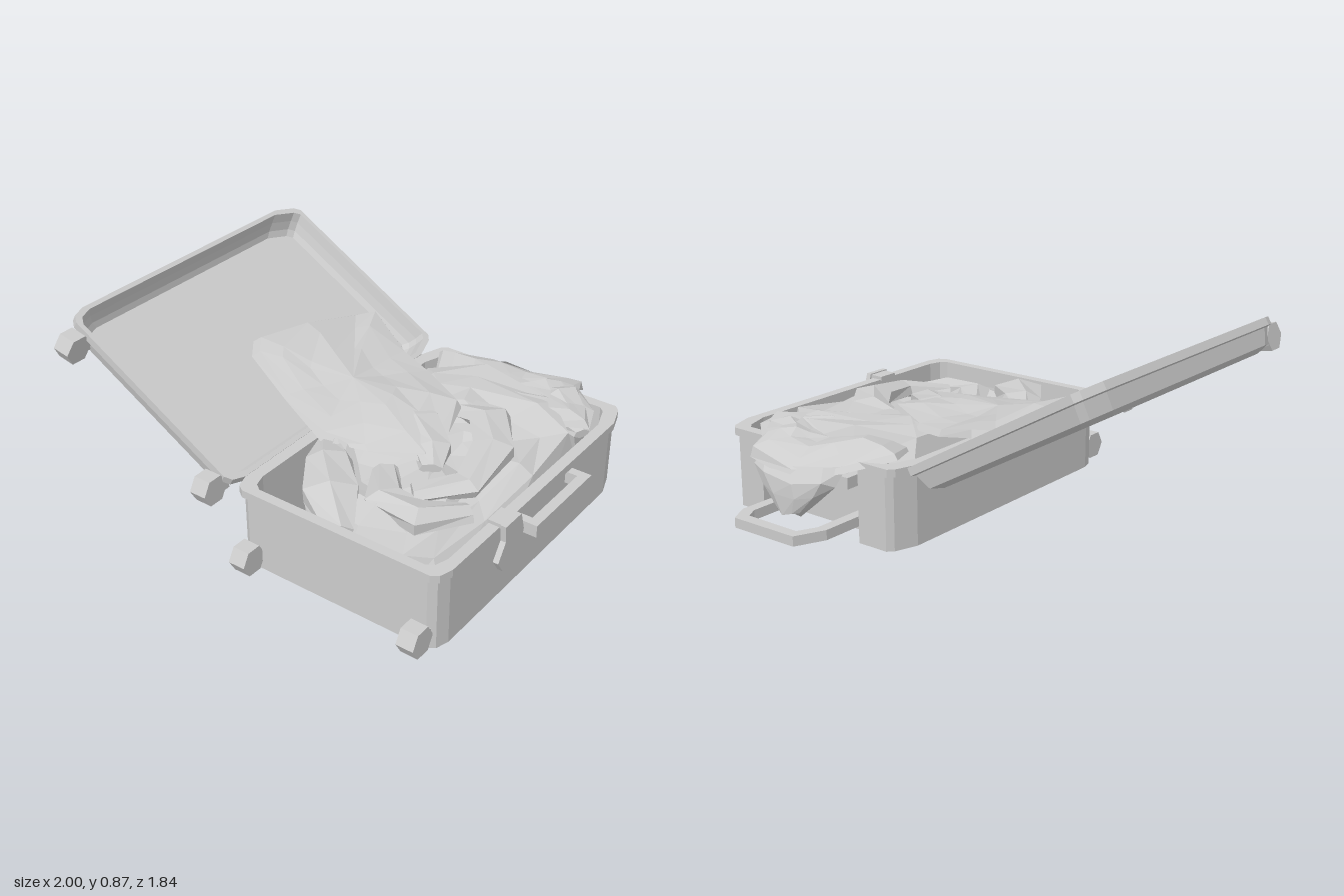
import * as THREE from 'three';

const mat = new THREE.MeshStandardMaterial({ color: 0xcccccc, flatShading: true, side: THREE.DoubleSide });

function add(parent, name, geo, x = 0, y = 0, z = 0) {
  const m = new THREE.Mesh(geo, mat);
  m.name = name;
  m.position.set(x, y, z);
  parent.add(m);
  return m;
}

const box = (w, h, d) => new THREE.BoxGeometry(w, h, d);

// Rectangle with two-step corners as [x, z], anticlockwise from above; optional notch in the back edge
function outline(x0, x1, z0, z1, notch) {
  const right = [[0, z1 - 0.08], [0, z0 + 0.13], [0.035, z0 + 0.025], [0.06, z0]];
  const front = [[0.05, z1], [0.018, z1 - 0.022]];
  const back = notch ? [[notch[1], z0], [notch[1], notch[2]], [notch[0], notch[2]], [notch[0], z0]] : [];
  const half = [...front, ...right];
  return [...half.map(([d, z]) => [x1 - d, z]), ...back, ...half.reverse().map(([d, z]) => [x0 + d, z])];
}

// Flat plan shape raised to a height
function slab(pts, h, hole) {
  const vec = (list) => list.map(([x, z]) => new THREE.Vector2(x, -z));
  const s = new THREE.Shape(vec(pts));
  if (hole) s.holes.push(new THREE.Path(vec(hole)));
  return new THREE.ExtrudeGeometry(s, { depth: h, bevelEnabled: false }).rotateX(-Math.PI / 2);
}

// Faceted skin through rings of equal point count
function skin(rings) {
  const pos = [];
  for (let i = 0; i < rings.length - 1; i++) {
    const n = rings[i].length;
    for (let j = 0; j < n; j++) {
      const k = (j + 1) % n;
      const [a, b, c, d] = [rings[i][j], rings[i][k], rings[i + 1][k], rings[i + 1][j]];
      pos.push(...a, ...b, ...c, ...a, ...c, ...d);
    }
  }
  const g = new THREE.BufferGeometry();
  g.setAttribute('position', new THREE.Float32BufferAttribute(pos, 3));
  g.computeVertexNormals();
  return g;
}

const crumple = (x, z) => Math.sin(11 * x + 5 * z) * 0.5 + Math.sin(17 * z - 8 * x + 1) * 0.5;

// Crumpled cloth: an outline that closes to a centre above and to a point below.
// profile holds [scale, lift] for each inner ring
function cloth(outer, centre, under, profile, bump) {
  const ring = (s, lift, b) => outer.map(([x, y, z]) => {
    const px = centre[0] + (x - centre[0]) * s, pz = centre[2] + (z - centre[2]) * s;
    const w = b * crumple(px, pz);
    return [px + w * 0.6, centre[1] + (y - centre[1]) * s + lift + w, pz - w * 0.6];
  });
  return skin([outer.map(() => under), outer, ...profile.map(([s, l]) => ring(s, l, bump)), ring(0, 0, 0)]);
}

// Six-sided flattened roll of cloth along [x, y, z, halfWidth] points
function roll(path) {
  const rings = path.map(([x, y, z, r], i) => {
    const a = path[Math.max(i - 1, 0)], b = path[Math.min(i + 1, path.length - 1)];
    const l = Math.hypot(b[0] - a[0], b[2] - a[2]);
    const px = -(b[2] - a[2]) / l, pz = (b[0] - a[0]) / l;
    return Array.from({ length: 6 }, (_, k) => {
      const t = k * Math.PI / 3 + i * 0.25;
      return [x + px * r * Math.cos(t), y + 0.5 * r * Math.sin(t), z + pz * r * Math.cos(t)];
    });
  });
  const cap = (p) => Array(6).fill(p.slice(0, 3));
  return skin([cap(path[0]), ...rings, cap(path[path.length - 1])]);
}

// Hexagonal wheel with a corner towards the front
function wheel(parent, x, y, z, tilt = 0) {
  const g = new THREE.Group();
  g.name = 'wheel';
  g.position.set(x, y, z);
  g.rotation.z = tilt;
  add(g, 'wheelTread', new THREE.CylinderGeometry(0.067, 0.067, 0.08, 6).rotateZ(Math.PI / 2));
  add(g, 'wheelBracket', box(0.07, 0.06, 0.05), 0, 0, -0.06);
  parent.add(g);
}

export function createModel() {
  const root = new THREE.Group();
  root.name = 'openSuitcase';

  // Base shell with a recess at the back for the pull handle
  const base = new THREE.Group();
  base.name = 'base';
  root.add(base);
  const outer = outline(-0.08, 0.9, -0.65, 0.8, [0.13, 0.7, -0.54]);
  add(base, 'baseFloor', slab(outer, 0.02));
  add(base, 'baseWalls', slab(outer, 0.31, outline(-0.045, 0.865, -0.61, 0.765, [0.09, 0.74, -0.5])), 0, 0.02, 0);
  add(base, 'baseRim', slab(outline(-0.1, 0.915, -0.66, 0.81), 0.035, outline(-0.045, 0.865, -0.61, 0.765)), 0, 0.33, 0);
  add(base, 'recessTop', box(0.57, 0.02, 0.12), 0.415, 0.32, -0.55);

  // Lid tray, folded open on the right-hand side
  const lid = new THREE.Group();
  lid.name = 'lid';
  lid.position.set(-0.1, 0.367, 0);
  lid.rotation.z = -Math.PI / 6;
  root.add(lid);
  const lidRing = ([inset, y]) => outline(-1.01 + inset, -inset, -0.66 + inset, 0.81 - inset).map(([x, z]) => [x, y, z]);
  const flat = (y) => Array(12).fill([-0.505, y, 0.075]);
  const lidProfile = [[0.075, -0.13], [0.035, -0.11], [0.015, -0.04], [0, -0.035], [0, 0],
    [0.022, 0], [0.032, -0.045], [0.045, -0.085], [0.062, -0.11]];
  add(lid, 'lidShell', skin([flat(-0.13), ...lidProfile.map(lidRing), flat(-0.11)]));
  add(root, 'hinge', box(0.05, 0.03, 1.22), -0.1, 0.35, 0.12);

  // Wheels on the front end of both halves
  wheel(root, -0.005, 0.07, 0.85);
  wheel(root, 0.83, 0.07, 0.85);
  wheel(root, -0.195, 0.34, 0.85);
  wheel(root, -0.925, 0.755, 0.85, -0.2);

  // Pull handle
  add(root, 'pullHandle', slab([[0.64, -0.53], [0.64, -0.83], [0.59, -0.92], [0.25, -0.915], [0.19, -0.78], [0.19, -0.53],
    [0.24, -0.53], [0.24, -0.78], [0.28, -0.865], [0.56, -0.865], [0.59, -0.81], [0.59, -0.53]], 0.045), 0, 0.04, 0);

  // Grab handle behind the hanging cloth
  add(root, 'backHandle', slab([[0.69, -0.53], [0.69, -0.7], [0.14, -0.7], [0.14, -0.53],
    [0.18, -0.53], [0.18, -0.66], [0.65, -0.66], [0.65, -0.53]], 0.05), 0, 0.25, 0);

  // Side handle
  add(root, 'sideHandle', slab([[0.89, 0.26], [1, 0.26], [1, -0.18], [0.89, -0.18],
    [0.89, -0.14], [0.955, -0.14], [0.955, 0.22], [0.89, 0.22]], 0.055), 0, 0.265, 0);

  // Loose closing strap
  const strap = new THREE.Shape([[-0.415, 0.385], [-0.41, 0.31], [-0.46, 0.235], [-0.42, 0.175], [-0.29, 0.24],
    [-0.275, 0.3], [-0.3, 0.385]].map(([x, y]) => new THREE.Vector2(x, y)));
  add(root, 'strap', new THREE.ExtrudeGeometry(strap, { depth: 0.025, bevelEnabled: false }).rotateY(Math.PI / 2), 0.925, 0, 0);
  add(root, 'strapTop', box(0.09, 0.02, 0.1), 0.905, 0.37, 0.355);

  // Clothes
  const clothes = new THREE.Group();
  clothes.name = 'clothes';
  root.add(clothes);
  const pile = [[0.865, 0.15, 0], [0.85, 0.2, -0.35], [0.7, 0.28, -0.56], [0.25, 0.3, -0.58], [0, 0.28, -0.45],
    [-0.02, 0.28, -0.1], [-0.02, 0.25, 0.35], [0.06, 0.2, 0.55], [0.2, 0.16, 0.7], [0.42, 0.13, 0.775],
    [0.68, 0.1, 0.76], [0.8, 0.1, 0.62], [0.85, 0.12, 0.3]];
  add(clothes, 'clothesPile', cloth(pile, [0.38, 0.38, 0.05], [0.4, 0.04, 0.1],
    [[0.87, 0.13], [0.72, 0.12], [0.55, 0.09], [0.38, 0.06], [0.2, 0.03]], 0.04));
  add(clothes, 'shirtOverLid', cloth([[0.46, 0.38, 0.22], [0.42, 0.41, 0.02], [0.36, 0.42, -0.17], [0.1, 0.42, -0.32],
    [-0.08, 0.44, -0.38], [-0.35, 0.52, -0.5], [-0.41, 0.52, -0.43], [-0.5, 0.56, -0.15], [-0.57, 0.57, 0.12],
    [-0.52, 0.54, 0.19], [-0.27, 0.45, 0.27], [0, 0.38, 0.36], [0.2, 0.38, 0.3]],
  [-0.1, 0.49, 0], [-0.1, 0.4, 0], [[0.94, 0.02], [0.7, 0.025], [0.4, 0.015]], 0.014));
  add(clothes, 'shirtOverBack', cloth([[0.85, 0.36, -0.43], [0.8, 0.37, -0.56], [0.66, 0.37, -0.68], [0.63, 0.31, -0.78],
    [0.38, 0.27, -0.8], [0.15, 0.32, -0.72], [-0.03, 0.38, -0.58], [0.05, 0.36, -0.42], [0.3, 0.37, -0.28], [0.62, 0.37, -0.3]],
  [0.4, 0.38, -0.53], [0.4, 0.33, -0.5], [[0.93, 0.03], [0.75, 0.05], [0.5, 0.05], [0.25, 0.01]], 0.022));

  // Cloth hanging down behind the back wall, as level loops tapering to the hem
  const hang = [[0.33, 0.24, -0.69, 0.08], [0.27, 0.23, -0.75, 0.065], [0.2, 0.16, -0.775, 0.045], [0.12, 0.07, -0.79, 0.025]]
    .map(([y, w, z, d], i) => Array.from({ length: 8 }, (_, k) => {
      const t = k * Math.PI / 4 + i * 0.2;
      return [0.4 + w * Math.cos(t), y + 0.015 * Math.sin(3 * t), z - d * Math.sin(t)];
    }));
  add(clothes, 'hangingCloth', skin([...hang, Array(8).fill([0.4, 0.12, -0.79])].reverse()));

  // Sleeves and folds lying on the pile
  const folds = [
    [[0, 0.36, 0.3, 0.05], [0.1, 0.37, 0.43, 0.1], [0.24, 0.35, 0.6, 0.13], [0.38, 0.3, 0.74, 0.07]],
    [[0.1, 0.42, -0.12, 0.08], [0.28, 0.41, 0.02, 0.1], [0.42, 0.39, 0.14, 0.09], [0.48, 0.37, 0.24, 0.05]],
    [[0.3, 0.38, -0.22, 0.08], [0.5, 0.41, -0.18, 0.1], [0.63, 0.4, 0.0, 0.1], [0.66, 0.37, 0.25, 0.08], [0.5, 0.35, 0.4, 0.06]],
    [[0.52, 0.36, -0.6, 0.06], [0.64, 0.39, -0.56, 0.09], [0.75, 0.35, -0.46, 0.08], [0.82, 0.33, -0.42, 0.04]],
    [[0.3, 0.33, 0.3, 0.06], [0.42, 0.34, 0.48, 0.09], [0.6, 0.33, 0.5, 0.1], [0.74, 0.32, 0.34, 0.06]],
  ];
  folds.forEach((p, i) => add(clothes, 'sleeve' + (i + 1), roll(p)));

  return root;
}
